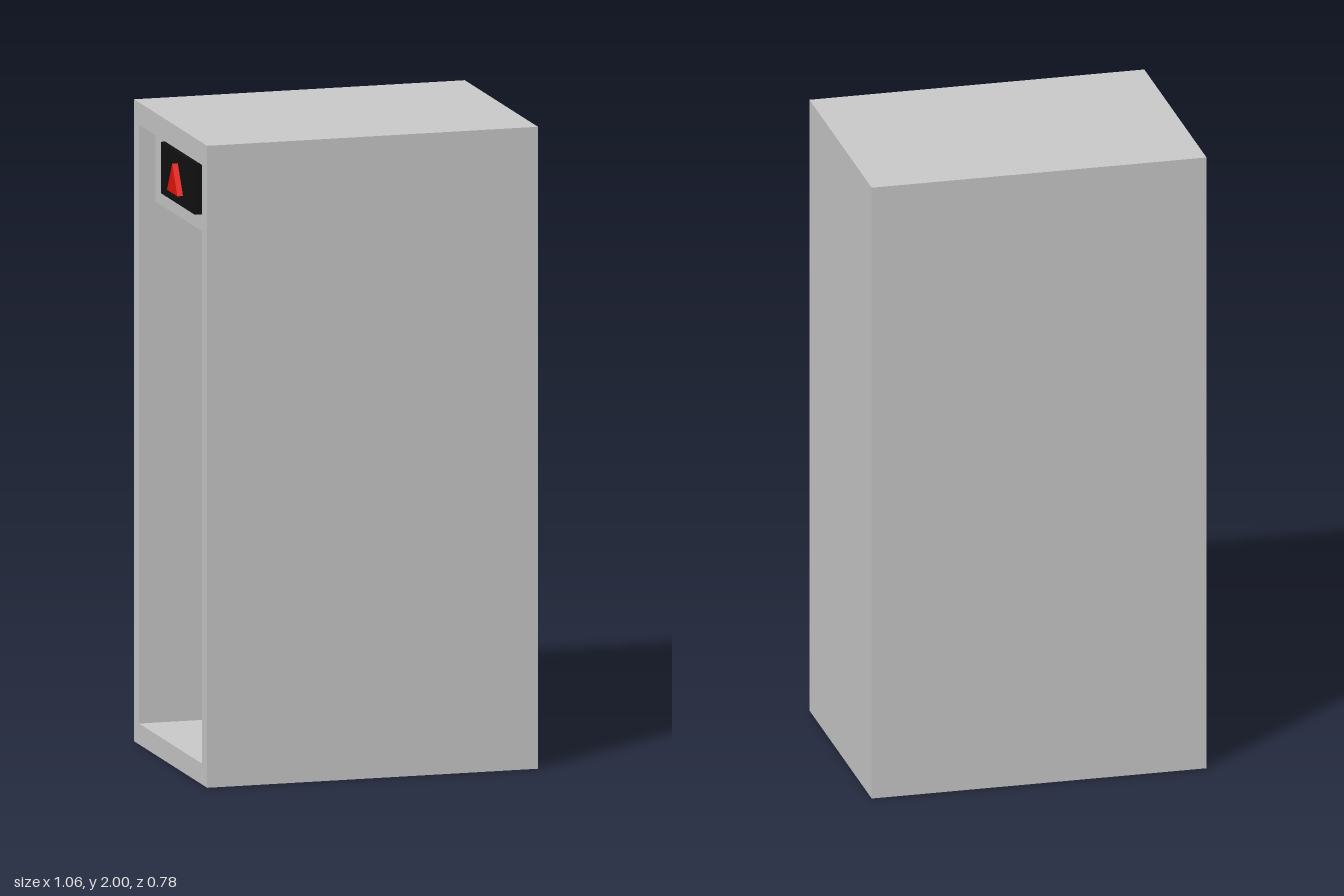
import * as THREE from 'three';

const W = 1.056, H = 2, D = 0.776;      // outer size of the cab
const FLOOR = 0.065, CEIL = 1.93;       // inner floor and ceiling heights
const X0 = -W / 2, X1 = W / 2;          // open side is at X0

function part(name, geometry, color = 0xcccccc) {
  const material = new THREE.MeshStandardMaterial({ color });
  const mesh = new THREE.Mesh(geometry, material);
  mesh.name = name;
  return mesh;
}

// Box given by its minimum and maximum corners
function box(name, min, max, color) {
  const size = max.map((v, i) => v - min[i]);
  const mesh = part(name, new THREE.BoxGeometry(...size), color);
  mesh.position.set(...max.map((v, i) => (v + min[i]) / 2));
  return mesh;
}

export function createModel() {
  const cab = new THREE.Group();
  cab.name = 'liftCab';

  // Floor and roof slabs
  cab.add(box('floor', [X0, 0, -D / 2], [X1, FLOOR, D / 2]));
  cab.add(box('roof', [X0, CEIL, -D / 2], [X1, H, D / 2]));

  // Walls: U-shaped plan, thinner near the doorway with a sloped step inside
  const thin = D / 2 - 0.053, thick = thin - 0.037;
  const half = [[X0, thin], [-0.31, thin], [-0.23, thick], [X1 - 0.06, thick]];
  const plan = [
    [X0, D / 2],
    ...half,
    ...half.map(([x, z]) => [x, -z]).reverse(),
    [X0, -D / 2], [X1, -D / 2], [X1, D / 2],
  ];
  const wallGeo = new THREE.ExtrudeGeometry(
    new THREE.Shape(plan.map(([x, z]) => new THREE.Vector2(x, z))),
    { depth: CEIL - FLOOR, bevelEnabled: false });
  wallGeo.rotateX(-Math.PI / 2);
  const walls = part('walls', wallGeo);
  walls.position.y = FLOOR;
  cab.add(walls);

  // Panel across the top of the doorway
  const panelX = X0 + 0.053;
  cab.add(box('headerPanel', [panelX, 1.688, -thin], [panelX + 0.05, CEIL, thin]));

  // Dark display with a raised arrow
  const screenX = panelX - 0.03;
  cab.add(box('display', [screenX, 1.745, -0.18], [panelX, 1.905, 0.18], 0x111111));

  const triangle = new THREE.Shape([
    new THREE.Vector2(-0.055, 1.78),
    new THREE.Vector2(0.055, 1.78),
    new THREE.Vector2(0, 1.872),
  ]);
  const arrowGeo = new THREE.ExtrudeGeometry(triangle, { depth: 0.018, bevelEnabled: false });
  arrowGeo.rotateY(-Math.PI / 2);
  const arrow = part('arrow', arrowGeo, 0xe81408);
  arrow.position.x = screenX;
  cab.add(arrow);

  return cab;
}
